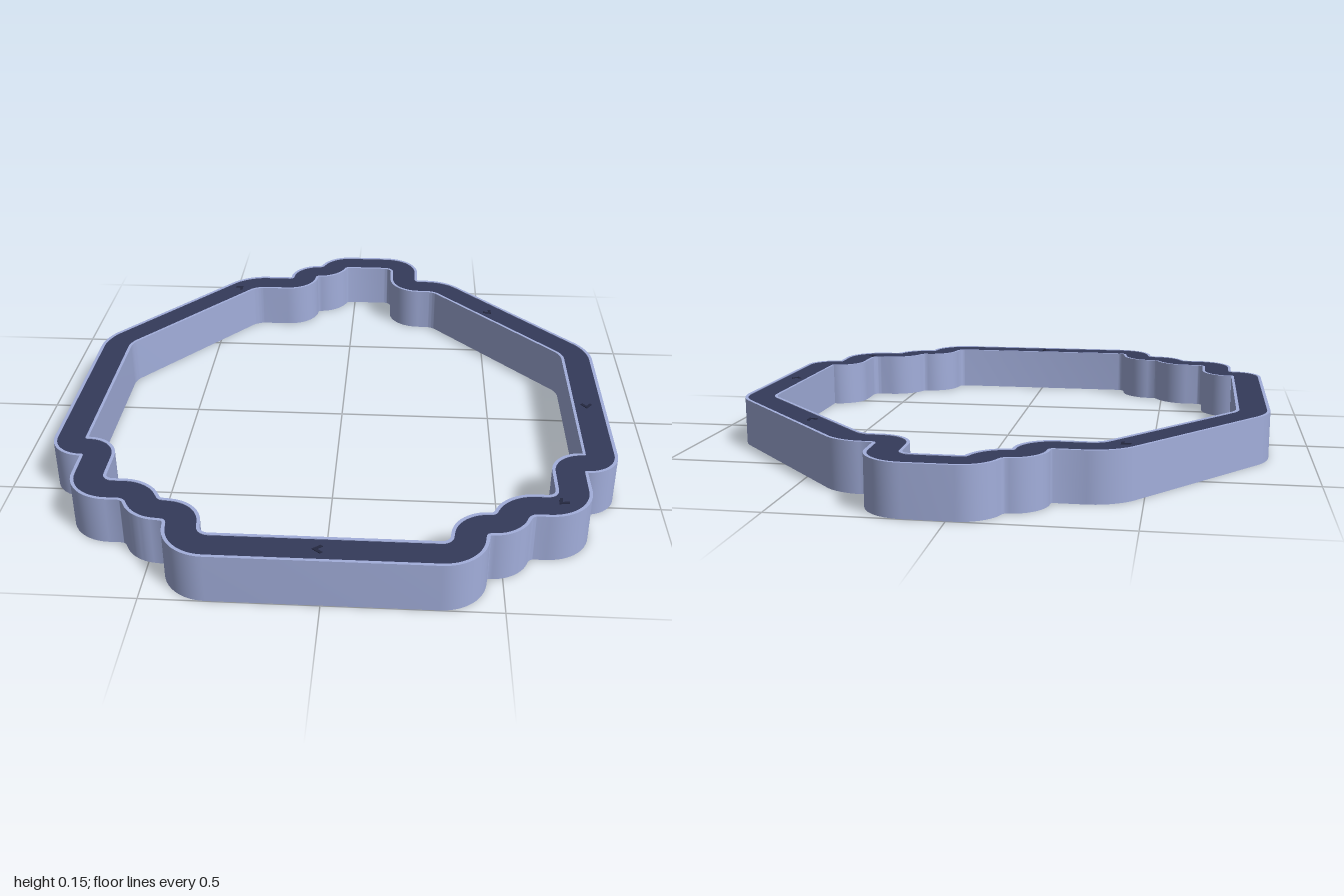
import * as THREE from 'three';
import { toCreasedNormals } from 'three/addons/utils/BufferGeometryUtils.js';

const HEIGHT = 0.152, HALF = 0.053, WALL = 0.01;

// Corners of the track centreline: x, z, rounding radius
const corners = [
  [-0.065, -0.946, 0.06], [0.197, -0.946, 0.08], [0.2, -0.735, 0.06], [0.335, -0.735, 0.1],
  [0.808, -0.215, 0.12], [0.808, 0.487, 0.07], [0.708, 0.487, 0.06], [0.708, 0.712, 0.09],
  [0.545, 0.712, 0.07], [0.508, 0.805, 0.06], [0.41, 0.808, 0.06], [0.392, 0.946, 0.08],
  [-0.385, 0.946, 0.08], [-0.402, 0.8, 0.06], [-0.51, 0.788, 0.06], [-0.555, 0.704, 0.07],
  [-0.71, 0.704, 0.09], [-0.71, 0.485, 0.06], [-0.813, 0.485, 0.07], [-0.813, -0.21, 0.12],
  [-0.4, -0.735, 0.11], [-0.2, -0.735, 0.06], [-0.192, -0.848, 0.06], [-0.1, -0.858, 0.06],
];

// Rounded centreline, sampled with its sideways normals
function traceCentreline() {
  const pts = corners.map(([x, z]) => new THREE.Vector2(x, -z));
  const samples = [];
  pts.forEach((p, i) => {
    const toPrev = pts.at(i - 1).clone().sub(p), toNext = pts[(i + 1) % pts.length].clone().sub(p);
    const turn = Math.PI - Math.acos(toPrev.dot(toNext) / (toPrev.length() * toNext.length()));
    const cut = Math.min(corners[i][2] * Math.tan(turn / 2), 0.49 * toPrev.length(), 0.49 * toNext.length());
    toPrev.normalize();
    toNext.normalize();
    const at = (dir, k) => p.clone().addScaledVector(dir, cut * k);
    const bend = new THREE.CubicBezierCurve(at(toPrev, 1), at(toPrev, 0.43), at(toNext, 0.43), at(toNext, 1));
    for (let s = 0; s <= 12; s++) {
      const t = bend.getTangent(s / 12);
      samples.push({ p: bend.getPoint(s / 12), n: new THREE.Vector2(-t.y, t.x) });
    }
  });
  return samples;
}

// Parallel outline, dropping points that fold over inside tight bends
function offsetLoop(line, d) {
  return line.map(({ p, n }) => p.clone().addScaledVector(n, d))
    .filter((q) => line.every(({ p }) => p.distanceTo(q) > Math.abs(d) - 0.0015));
}

function extrudeUp(shape, y0, y1) {
  const geo = new THREE.ExtrudeGeometry(shape, { depth: y1 - y0, bevelEnabled: false });
  geo.rotateX(-Math.PI / 2);
  geo.translate(0, y0, 0);
  return toCreasedNormals(geo, 0.6);
}

export function createModel() {
  const group = new THREE.Group();
  group.name = 'trackOutline';
  const wallMat = new THREE.MeshStandardMaterial({ name: 'pale blue', color: 0xa2aedb });
  const roadMat = new THREE.MeshStandardMaterial({ name: 'dark navy', color: 0x343a5a });
  const arrowMat = new THREE.MeshStandardMaterial({ name: 'ink', color: 0x242840 });

  const add = (name, geo, mat) => {
    const mesh = new THREE.Mesh(geo, mat);
    mesh.name = name;
    group.add(mesh);
    return mesh;
  };

  // Closed band between two parallel outlines; the hole winds the other way
  const line = traceCentreline();
  const band = (name, outer, inner, y0, y1, mat) => {
    const shape = new THREE.Shape(offsetLoop(line, outer));
    shape.holes.push(new THREE.Path(offsetLoop(line, inner).reverse()));
    add(name, extrudeUp(shape, y0, y1), mat);
  };

  // Hollow channel, open underneath: two thin walls and the road between them
  band('outerWall', HALF, HALF - WALL, 0, HEIGHT, wallMat);
  band('innerWall', -HALF + WALL, -HALF, 0, HEIGHT, wallMat);
  band('road', HALF - WALL, -HALF + WALL, HEIGHT - 0.012, HEIGHT - 0.002, roadMat);

  // Small direction chevrons: x, z, heading x, heading z
  const chevron = new THREE.Shape([
    [0.015, 0], [-0.008, 0.018], [-0.015, 0.012], [0.001, 0], [-0.015, -0.012], [-0.008, -0.018],
  ].map(([x, y]) => new THREE.Vector2(x, y)));
  const chevronGeo = extrudeUp(chevron, HEIGHT - 0.003, HEIGHT);
  for (const [x, z, dx, dz] of [
    [0.52, -0.52, 0.67, 0.74], [0.803, 0.15, 0, 1], [0.67, 0.69, -0.7, 0.7],
    [-0.01, 0.946, -1, 0], [-0.44, -0.685, 0.62, -0.78],
  ]) {
    const arrow = add('directionArrow', chevronGeo, arrowMat);
    arrow.position.set(x, 0, z);
    arrow.rotation.y = Math.atan2(-dz, dx);
  }
  return group;
}
